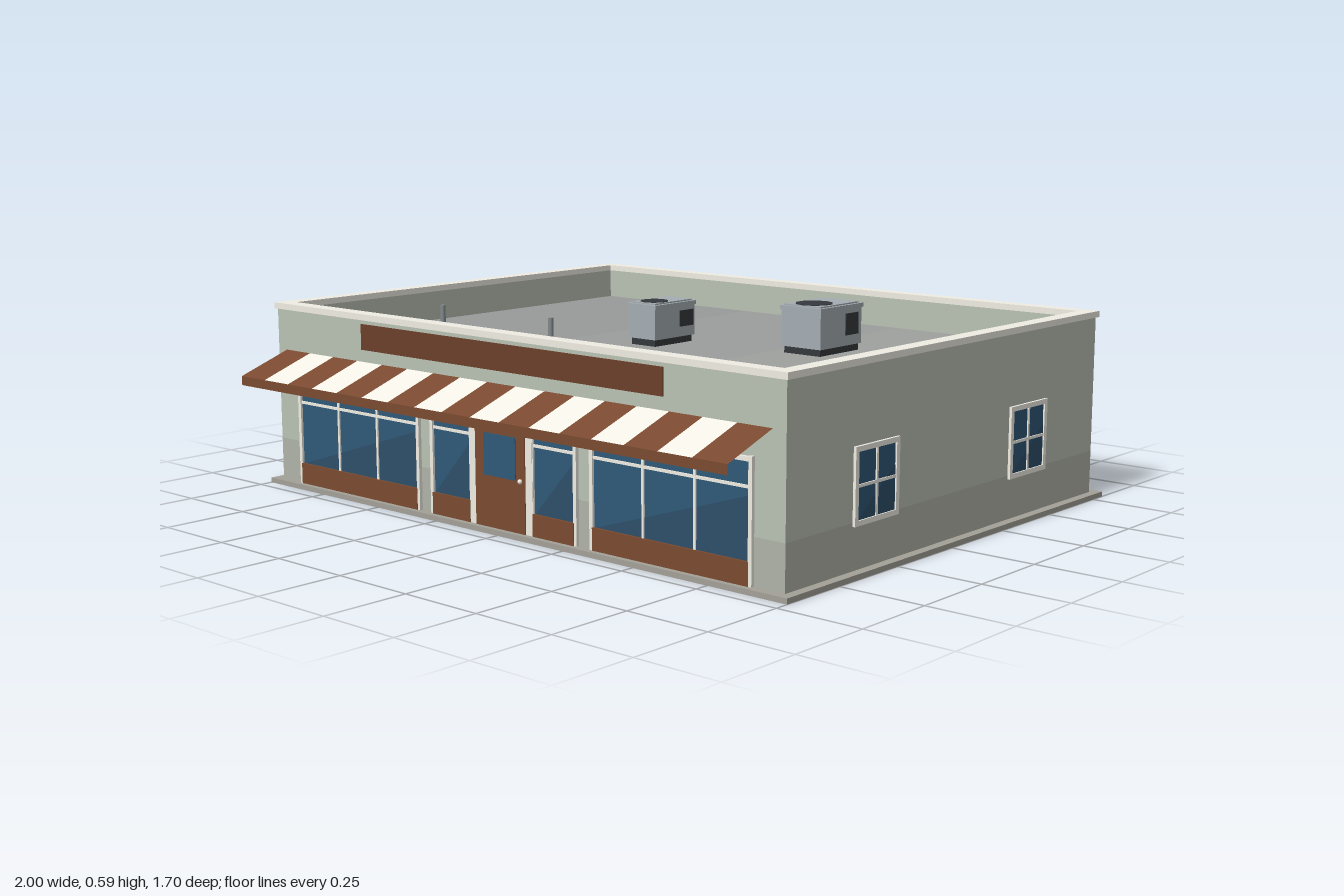
import * as THREE from 'three';

const mat = (color, side = THREE.FrontSide) => new THREE.MeshStandardMaterial({ color, side });
const M = {
  wall: mat(0xb9c1b3), wallLow: mat(0xb0b3a7), slab: mat(0xa3a097), trim: mat(0xf0ede3),
  brown: mat(0x7a4a30), sign: mat(0x6b3f2a), glass: mat(0x2f5878), shine: mat(0x2d4f6a),
  metal: mat(0xa4adb3), dark: mat(0x34383c), pipe: mat(0x848c8d),
  shutter: mat(0x9b9fa6), shutterDark: mat(0x8d9198),
  stripe: mat(0x7a4a30, THREE.DoubleSide), pale: mat(0xf2efe6, THREE.DoubleSide),
};
const ROOF = 0.445;

function add(parent, name, geo, material, x = 0, y = 0, z = 0) {
  const m = new THREE.Mesh(geo, material);
  m.name = name;
  m.position.set(x, y, z);
  parent.add(m);
}

// Box given by its lowest and highest corners
function box(parent, name, material, x0, x1, y0, y1, z0, z1) {
  add(parent, name, new THREE.BoxGeometry(x1 - x0, y1 - y0, z1 - z0), material,
    (x0 + x1) / 2, (y0 + y1) / 2, (z0 + z1) / 2);
}

// Rectangular ring lying flat: outer and inner are [halfWidth, zBack, zFront]
function ring(parent, name, material, outer, inner, y0, y1) {
  const rect = (T, [w, b, f]) => {
    const p = new T();
    p.moveTo(-w, -f); p.lineTo(w, -f); p.lineTo(w, -b); p.lineTo(-w, -b); p.closePath();
    return p;
  };
  const s = rect(THREE.Shape, outer);
  s.holes.push(rect(THREE.Path, inner));
  const g = new THREE.ExtrudeGeometry(s, { depth: y1 - y0, bevelEnabled: false });
  g.rotateX(-Math.PI / 2);
  add(parent, name, g, material, 0, y0, 0);
}

// Window facing +z, centred on its origin; bars at fractions of width and height
function makeWindow(name, w, h, f, depth, xBars, yBars) {
  const g = new THREE.Group();
  g.name = name;
  const a = w / 2, b = h / 2;
  box(g, 'windowGlass', M.glass, -a + f, a - f, -b + f, b - f, -0.002, 0.002);
  const tri = new THREE.Shape([[-a + f, -b + f], [a - f, -b + f], [a - f, b * 0.3]]
    .map(p => new THREE.Vector2(...p)));
  add(g, 'glassShade', new THREE.ShapeGeometry(tri), M.shine, 0, 0, 0.003);
  for (const s of [-1, 1]) {
    box(g, 'windowJamb', M.trim, s * (a - f / 2) - f / 2, s * (a - f / 2) + f / 2, -b, b, -0.002, depth);
    box(g, 'windowRail', M.trim, -a + f, a - f, s * (b - f / 2) - f / 2, s * (b - f / 2) + f / 2, -0.002, depth);
  }
  for (const t of xBars) {
    const x = -a + f + t * (w - 2 * f);
    box(g, 'windowMullion', M.trim, x - 0.004, x + 0.004, -b + f, b - f, 0, depth * 0.8);
  }
  for (const t of yBars) {
    const y = -b + f + t * (h - 2 * f);
    box(g, 'windowTransom', M.trim, -a + f, a - f, y - 0.004, y + 0.004, 0, depth * 0.8);
  }
  return g;
}

function place(parent, obj, x, y, z, ry = 0) {
  obj.position.set(x, y, z);
  obj.rotation.y = ry;
  parent.add(obj);
}

// Rooftop cooling unit with base, lid, round fan and side grille
function coolingUnit(parent, x0, x1, z0, z1, top, fanZ, fanR) {
  const g = new THREE.Group();
  g.name = 'coolingUnit';
  const e = 0.01, cx = (x0 + x1) / 2, cz = (z0 + z1) / 2;
  box(g, 'unitBase', M.dark, x0 + e, x1 - e, ROOF, ROOF + 0.02, z0 + e, z1 - e);
  box(g, 'unitBody', M.metal, x0 + 0.004, x1 - 0.004, ROOF + 0.02, top - 0.015, z0 + 0.004, z1 - 0.004);
  box(g, 'unitRim', M.metal, x0, x1, top - 0.017, top - 0.005, z0, z1);
  box(g, 'unitLid', M.metal, x0 + e, x1 - e, top - 0.005, top - 0.001, z0 + e, z1 - e);
  add(g, 'unitFan', new THREE.CylinderGeometry(fanR, fanR, 0.004, 10), M.dark, cx, top - 0.001, fanZ);
  box(g, 'unitGrille', M.dark, x1 - 0.01, x1 - 0.001, 0.495, top - 0.03, cz - 0.08, cz - 0.02);
  parent.add(g);
}

export function createModel() {
  const root = new THREE.Group();
  root.name = 'shopBuilding';

  // Slab, walls, parapet cap and roof
  box(root, 'groundSlab', M.slab, -1, 1, 0, 0.015, -0.803, 0.71);
  const outer = [0.973, -0.773, 0.683], inner = [0.935, -0.74, 0.645];
  ring(root, 'lowerWalls', M.wallLow, outer, inner, 0.015, 0.14);
  ring(root, 'upperWalls', M.wall, outer, inner, 0.14, 0.54);
  ring(root, 'parapetCap', M.trim, [0.98, -0.782, 0.69], [0.933, -0.738, 0.643], 0.537, 0.555);
  [[-0.935, -0.31, 0x999b9b], [-0.31, 0.3, 0x9c9e9d], [0.3, 0.935, 0x9fa19e]].forEach(([a, b, c]) =>
    box(root, 'roofDeck', mat(c), a, b, ROOF - 0.02, ROOF, -0.74, 0.645));

  // Roof equipment
  coolingUnit(root, 0.333, 0.481, -0.303, -0.1, 0.588, -0.165, 0.055);
  coolingUnit(root, -0.108, 0.004, -0.115, 0.068, 0.573, 0.01, 0.042);
  box(root, 'roofHatch', M.metal, 0.612, 0.738, ROOF, ROOF + 0.03, 0.415, 0.533);
  for (const [x, z] of [[-0.61, 0.345], [-0.165, 0.33]])
    add(root, 'ventPipe', new THREE.CylinderGeometry(0.008, 0.008, 0.1, 8), M.pipe, x, ROOF + 0.05, z);

  // Shopfront, mirrored about the door
  for (const s of [-1, 1]) {
    place(root, makeWindow('displayWindow', 0.544, 0.275, 0.012, 0.008, [1 / 3, 2 / 3], [0.75]), s * 0.605, 0.2, 0.684);
    box(root, 'kickPanel', M.brown, s * 0.605 - 0.262, s * 0.605 + 0.262, 0.015, 0.077, 0.682, 0.694);
    place(root, makeWindow('entryWindow', 0.17, 0.275, 0.01, 0.008, [], [0.75]), s * 0.2, 0.2, 0.684);
    box(root, 'kickPanel', M.brown, s * 0.2 - 0.077, s * 0.2 + 0.077, 0.015, 0.077, 0.682, 0.694);
    for (const [x, w] of [[0.871, 0.012], [0.339, 0.012], [0.28, 0.012], [0.109, 0.026]])
      box(root, 'shopfrontPost', M.trim, s * x - w / 2, s * x + w / 2, 0.015, 0.34, 0.682, 0.693);
  }
  box(root, 'doorHead', M.trim, -0.1, 0.1, 0.308, 0.34, 0.682, 0.693);
  box(root, 'frontDoor', M.brown, -0.097, 0.097, 0.015, 0.308, 0.682, 0.695);
  box(root, 'doorGlass', M.glass, -0.062, 0.062, 0.16, 0.278, 0.69, 0.697);
  add(root, 'doorKnob', new THREE.SphereGeometry(0.007, 10, 8), M.trim, 0.08, 0.16, 0.697);
  box(root, 'signBoard', M.sign, -0.583, 0.583, 0.45, 0.525, 0.68, 0.686);

  // Striped awning with a short front valance
  const n = 17, sw = 1.866 / n, drop = 0.06, reach = 0.167;
  for (let i = 0; i < n; i++) {
    const strip = new THREE.PlaneGeometry(sw, Math.hypot(drop, reach));
    strip.rotateX(-Math.atan2(reach, drop));
    add(root, 'awningStripe', strip, i % 2 ? M.pale : M.stripe,
      -0.933 + (i + 0.5) * sw, 0.415 - drop / 2, 0.685 + reach / 2);
  }
  add(root, 'awningValance', new THREE.PlaneGeometry(1.866, 0.027), M.stripe, 0, 0.3415, 0.852);

  // Side and back windows
  const paned = () => makeWindow('panedWindow', 0.19, 0.204, 0.014, 0.007, [0.5], [0.5]);
  for (const z of [0.318, -0.407]) {
    place(root, paned(), 0.974, 0.232, z, Math.PI / 2);
    place(root, paned(), -0.974, 0.232, z, -Math.PI / 2);
  }
  for (const x of [0.245, -0.25, -0.745]) place(root, paned(), x, 0.232, -0.774, Math.PI);

  // Roller shutter with frame and slats
  for (let i = 0; i < 8; i++)
    box(root, 'shutterSlat', i % 2 ? M.shutterDark : M.shutter, -0.632, -0.342,
      0.015 + i * 0.04, 0.055 + i * 0.04, -0.783, -0.772);
  for (const x of [-0.639, -0.335])
    box(root, 'shutterPost', M.trim, x - 0.009, x + 0.009, 0.015, 0.335, -0.786, -0.772);
  box(root, 'shutterHead', M.trim, -0.648, -0.326, 0.335, 0.355, -0.786, -0.772);

  // Back door
  box(root, 'backDoorFrame', M.trim, -0.872, -0.735, 0.015, 0.275, -0.784, -0.772);
  box(root, 'backDoor', M.brown, -0.862, -0.745, 0.015, 0.262, -0.788, -0.774);
  add(root, 'backDoorKnob', new THREE.SphereGeometry(0.006, 10, 8), M.trim, -0.758, 0.135, -0.79);

  // Wall cooling box and corner downspouts
  box(root, 'wallUnit', M.metal, 0.232, 0.345, 0.025, 0.125, -0.85, -0.79);
  box(root, 'wallUnitGrille', M.pipe, 0.245, 0.332, 0.037, 0.113, -0.852, -0.849);
  for (const x of [-0.945, 0.945])
    box(root, 'downspout', M.pipe, x - 0.012, x + 0.012, 0.015, 0.537, -0.784, -0.772);

  return root;
}
